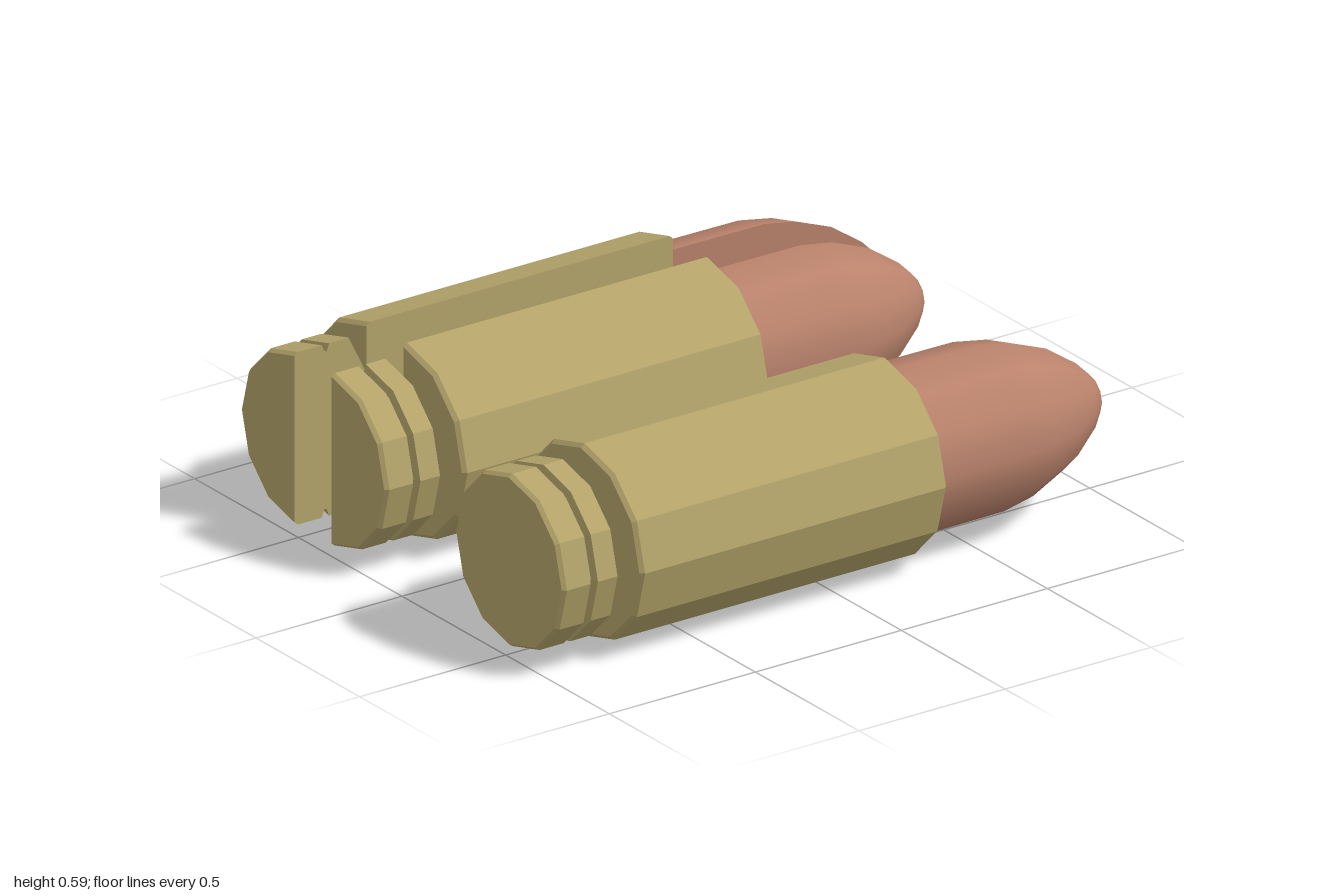
import * as THREE from 'three';

const SIDES = 12;
const AXIS_HEIGHT = 0.297;

// Profiles as [radius, z], running from the nose to the base.
const BULLET = [
  [0, -1], [0.03, -0.998], [0.065, -0.985], [0.108, -0.942], [0.18, -0.838],
  [0.228, -0.715], [0.247, -0.608], [0.249, -0.29],
];
const CASE = [
  [0.247, -0.296], [0.282, -0.296], [0.293, -0.285], [0.293, 0.742], [0.282, 0.754],
  [0.14, 0.754], [0.263, 0.815], [0.263, 0.882], [0.24, 0.89], [0.24, 0.898],
  [0.263, 0.907], [0.263, 0.988], [0.254, 1], [0, 1],
];

const brass = new THREE.MeshStandardMaterial({ color: 0xb5a56b, flatShading: true });
const copper = new THREE.MeshStandardMaterial({ color: 0xb9826b });

// Turned body lying along z; a half turn keeps the x >= 0 side.
function turned(profile, half) {
  const points = profile.map(([r, z]) => new THREE.Vector2(r, z));
  const geometry = new THREE.LatheGeometry(points, half ? SIDES / 2 : SIDES, 0, half ? Math.PI : Math.PI * 2);
  return geometry.rotateX(Math.PI / 2);
}

// Flat lengthwise section closing a half body, facing -x.
function section(profile) {
  const outline = [
    ...profile.map(([r, z]) => new THREE.Vector2(z, r)),
    ...[...profile].reverse().filter(([r]) => r > 0).map(([r, z]) => new THREE.Vector2(z, -r)),
  ];
  return new THREE.ShapeGeometry(new THREE.Shape(outline)).rotateY(-Math.PI / 2);
}

function createCartridge(name, x, half = false) {
  const group = new THREE.Group();
  group.name = name;
  group.position.set(x, AXIS_HEIGHT, 0);
  for (const [part, profile, material] of [['bullet', BULLET, copper], ['case', CASE, brass]]) {
    const body = new THREE.Mesh(turned(profile, half), material);
    body.name = part;
    group.add(body);
    if (half) {
      const cut = new THREE.Mesh(section(profile), material);
      cut.name = part + 'Section';
      group.add(cut);
    }
  }
  return group;
}

export function createModel() {
  const model = new THREE.Group();
  model.name = 'cartridges';

  // One whole cartridge and one split lengthwise into two halves
  const whole = createCartridge('wholeCartridge', 0.516);
  const leftHalf = createCartridge('leftHalfCartridge', -0.34, true);
  const rightHalf = createCartridge('rightHalfCartridge', -0.518, true);
  rightHalf.rotation.z = Math.PI;

  model.add(whole, leftHalf, rightHalf);
  return model;
}
